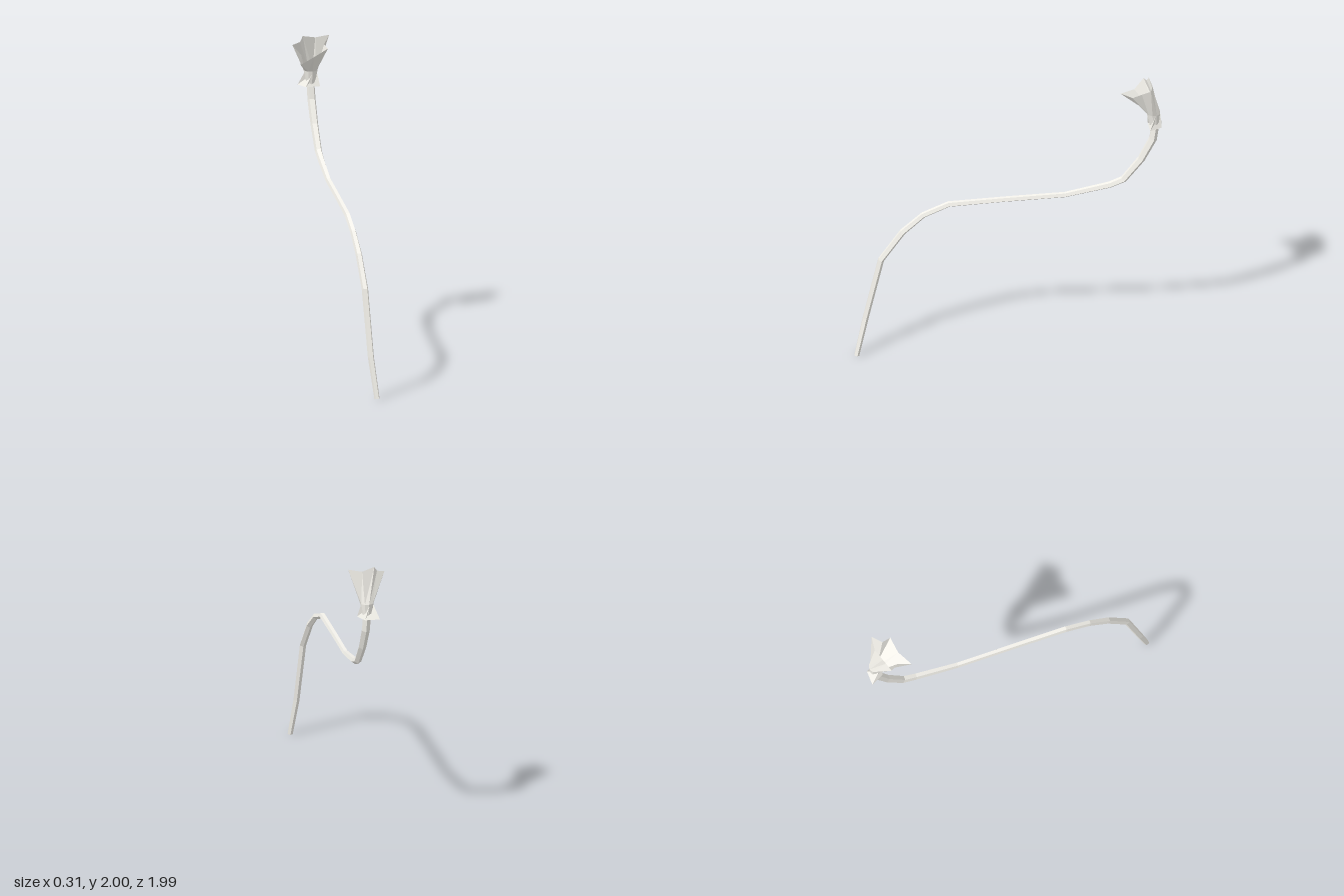
import * as THREE from 'three';

const v = (x, y, z) => new THREE.Vector3(x, y, z);

// Skin a stack of equal-sized rings with flat facets
function loft(name, rings, side = THREE.FrontSide) {
  const n = rings[0].length, pts = [];
  for (let i = 0; i < rings.length - 1; i++) {
    for (let j = 0; j < n; j++) {
      const k = (j + 1) % n;
      const [a, b, c, d] = [rings[i][j], rings[i][k], rings[i + 1][k], rings[i + 1][j]];
      if (!a.equals(b)) pts.push(a, b, c);
      if (!c.equals(d)) pts.push(a, c, d);
    }
  }
  const geo = new THREE.BufferGeometry().setFromPoints(pts);
  geo.computeVertexNormals();
  const mesh = new THREE.Mesh(geo,
    new THREE.MeshStandardMaterial({ color: 0xf5f3ec, flatShading: true, side }));
  mesh.name = name;
  return mesh;
}

// Horizontal ring, counterclockwise seen from above
const flatRing = (c, r, n, start) => Array.from({ length: n }, (_, j) => {
  const a = start + j / n * Math.PI * 2;
  return v(c.x + r * Math.cos(a), c.y, c.z - r * Math.sin(a));
});
const point = (p, n) => Array(n).fill(p);

function createStem() {
  // x, y, z, radius along the drooping stalk
  const path = [
    [0.137, 0.004, 0.982, 0.018], [0.105, 0.27, 0.925, 0.021], [0.08, 0.7, 0.825, 0.022],
    [0.06, 0.9, 0.685, 0.022], [0.042, 1.02, 0.55, 0.02], [0.028, 1.095, 0.385, 0.02],
    [0.018, 1.128, 0.02, 0.019], [0.008, 1.158, -0.37, 0.019], [0, 1.23, -0.66, 0.022],
    [-0.005, 1.27, -0.75, 0.024], [-0.015, 1.42, -0.865, 0.026], [-0.023, 1.57, -0.94, 0.028],
    [-0.028, 1.67, -0.955, 0.027],
  ];
  const centers = path.map(([x, y, z]) => v(x, y, z));
  const sides = 5;
  const rings = centers.map((c, i) => {
    const next = centers[Math.min(i + 1, path.length - 1)], prev = centers[Math.max(i - 1, 0)];
    const t = next.clone().sub(prev).normalize();
    const s = v(1, 0, 0).addScaledVector(t, -t.x).normalize();
    const u = t.clone().cross(s);
    return Array.from({ length: sides }, (_, j) => {
      const a = 0.3 + j / sides * Math.PI * 2;
      return c.clone().addScaledVector(s, path[i][3] * Math.cos(a))
        .addScaledVector(u, path[i][3] * Math.sin(a));
    });
  });
  return loft('stem', [point(centers[0], sides), ...rings, point(centers.at(-1), sides)]);
}

function createBlossom() {
  // Open hooded cup; the rim alternates petal tip and shallow notch
  const rim = [
    v(0.09, 2.0, -0.93), v(0, 1.983, -0.94), v(-0.085, 2.0, -0.915), v(-0.105, 1.965, -0.9),
    v(-0.158, 1.95, -0.88), v(-0.108, 1.895, -0.82), v(-0.125, 1.85, -0.73), v(-0.03, 1.885, -0.79),
    v(0.065, 1.935, -0.81), v(0.048, 1.95, -0.87),
  ];
  const n = rim.length;
  return loft('blossom', [
    flatRing(v(-0.03, 1.66, -0.952), 0.028, n, 0.5),
    flatRing(v(-0.03, 1.765, -0.945), 0.045, n, 0.5),
    rim,
  ], THREE.DoubleSide);
}

function createSepals() {
  // Pointed skirt folded down around the neck
  const tips = [v(0.03, 1.66, -0.925), v(-0.01, 1.662, -0.998),
    v(-0.108, 1.66, -0.995), v(-0.065, 1.66, -0.908)];
  const top = flatRing(v(-0.03, 1.75, -0.948), 0.043, 4, 0.2);
  return loft('sepals', [tips, top], THREE.DoubleSide);
}

export function createModel() {
  const group = new THREE.Group();
  group.name = 'flower';
  group.add(createStem(), createBlossom(), createSepals());
  return group;
}
